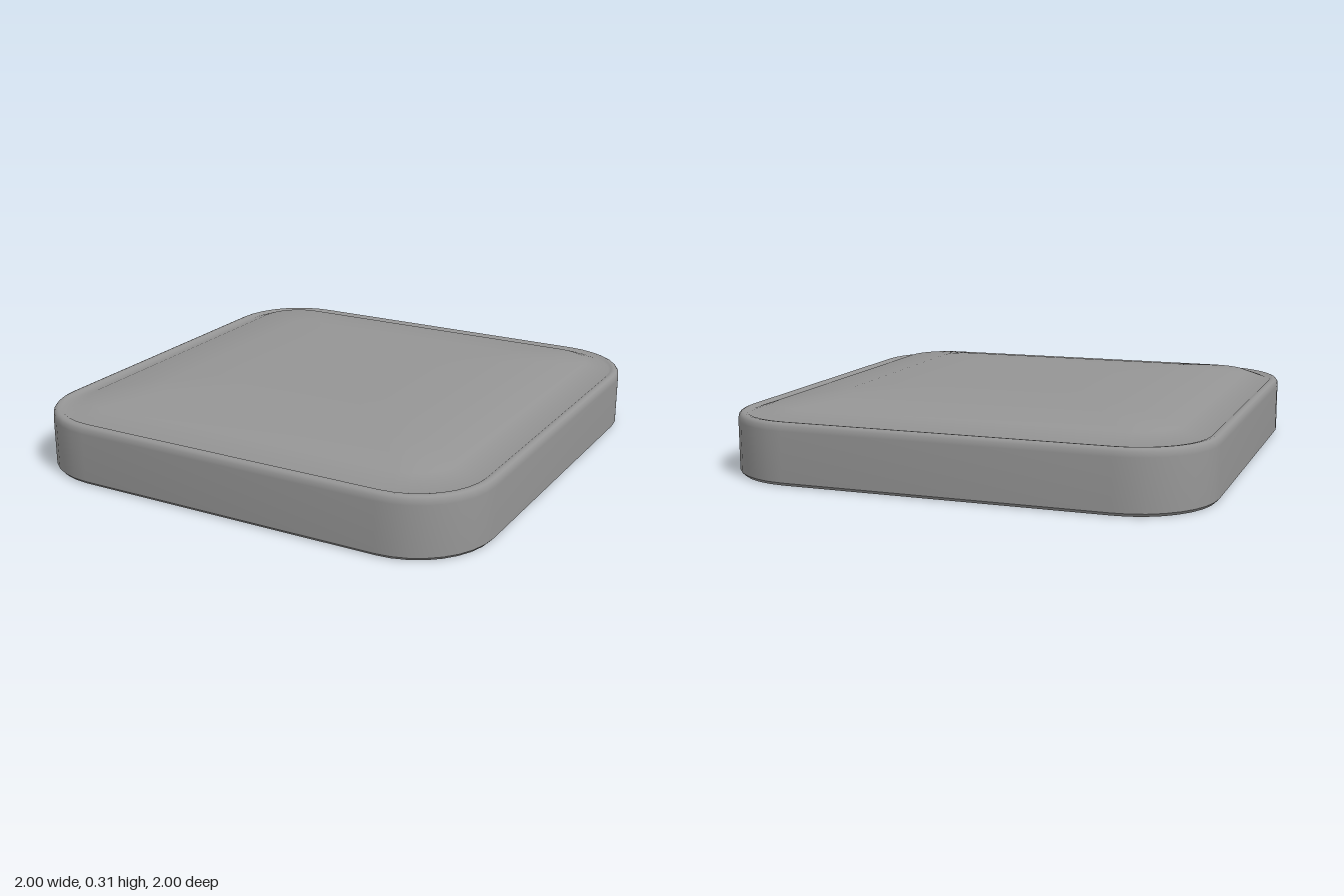
import * as THREE from 'three';
import { toCreasedNormals } from 'three/addons/utils/BufferGeometryUtils.js';

const CORNER = 0.33;  // outer corner radius
const STEPS = 8;      // segments per rounded corner

// Rounded-square ring, inset from the outer outline, at height y
function ring(inset, y) {
  const half = 1 - inset;
  const r = Math.min(half, Math.max(CORNER - inset, 0.1));
  const points = [];
  for (let corner = 0; corner < 4; corner++) {
    const mid = (corner + 0.5) * Math.PI / 2;
    const cx = Math.sign(Math.cos(mid)) * (half - r);
    const cz = Math.sign(Math.sin(mid)) * (half - r);
    for (let i = 0; i <= STEPS; i++) {
      const a = (corner + i / STEPS) * Math.PI / 2;
      points.push([cx + r * Math.cos(a), y, cz + r * Math.sin(a)]);
    }
  }
  return points;
}

// Skin a profile of [inset, y] pairs; inset 1 closes to the centre point
function loft(name, profile, crease, material) {
  const rings = profile.map(([inset, y]) => ring(inset, y));
  const positions = [];
  for (let i = 0; i < rings.length - 1; i++) {
    const n = rings[i].length;
    for (let j = 0; j < n; j++) {
      const k = (j + 1) % n;
      const a = rings[i][j], a2 = rings[i][k];
      const b = rings[i + 1][j], b2 = rings[i + 1][k];
      if (profile[i][0] < 1) positions.push(...a, ...a2, ...b);
      if (profile[i + 1][0] < 1) positions.push(...a2, ...b2, ...b);
    }
  }
  const geometry = new THREE.BufferGeometry();
  geometry.setAttribute('position', new THREE.Float32BufferAttribute(positions, 3));
  const mesh = new THREE.Mesh(toCreasedNormals(geometry, crease), material);
  mesh.name = name;
  return mesh;
}

export function createModel() {
  const darkGrey = new THREE.MeshStandardMaterial({ color: 0x959595 });
  const model = new THREE.Group();
  model.name = 'lid';

  // Domed top, shallow groove, rounded lip and outer wall in one smooth skin
  model.add(loft('outerShell', [
    [1, 0.315], [0.7, 0.315], [0.39, 0.314], [0.15, 0.281], [0.045, 0.245],
    [0.035, 0.252], [0.02, 0.254], [0.01, 0.25], [0.002, 0.24], [0, 0.22], [0, 0.013],
  ], 1.1, darkGrey));

  // Bevelled bottom edge and inner wall
  model.add(loft('bottomRim', [
    [0, 0.013], [0.012, 0], [0.025, 0], [0.03, 0.008], [0.03, 0.23],
  ], 0.5, darkGrey));

  // Hollow underside following the dome
  model.add(loft('underside', [
    [0.03, 0.23], [0.06, 0.232], [0.15, 0.262], [0.39, 0.295], [0.7, 0.296], [1, 0.296],
  ], 0.5, darkGrey));

  return model;
}
